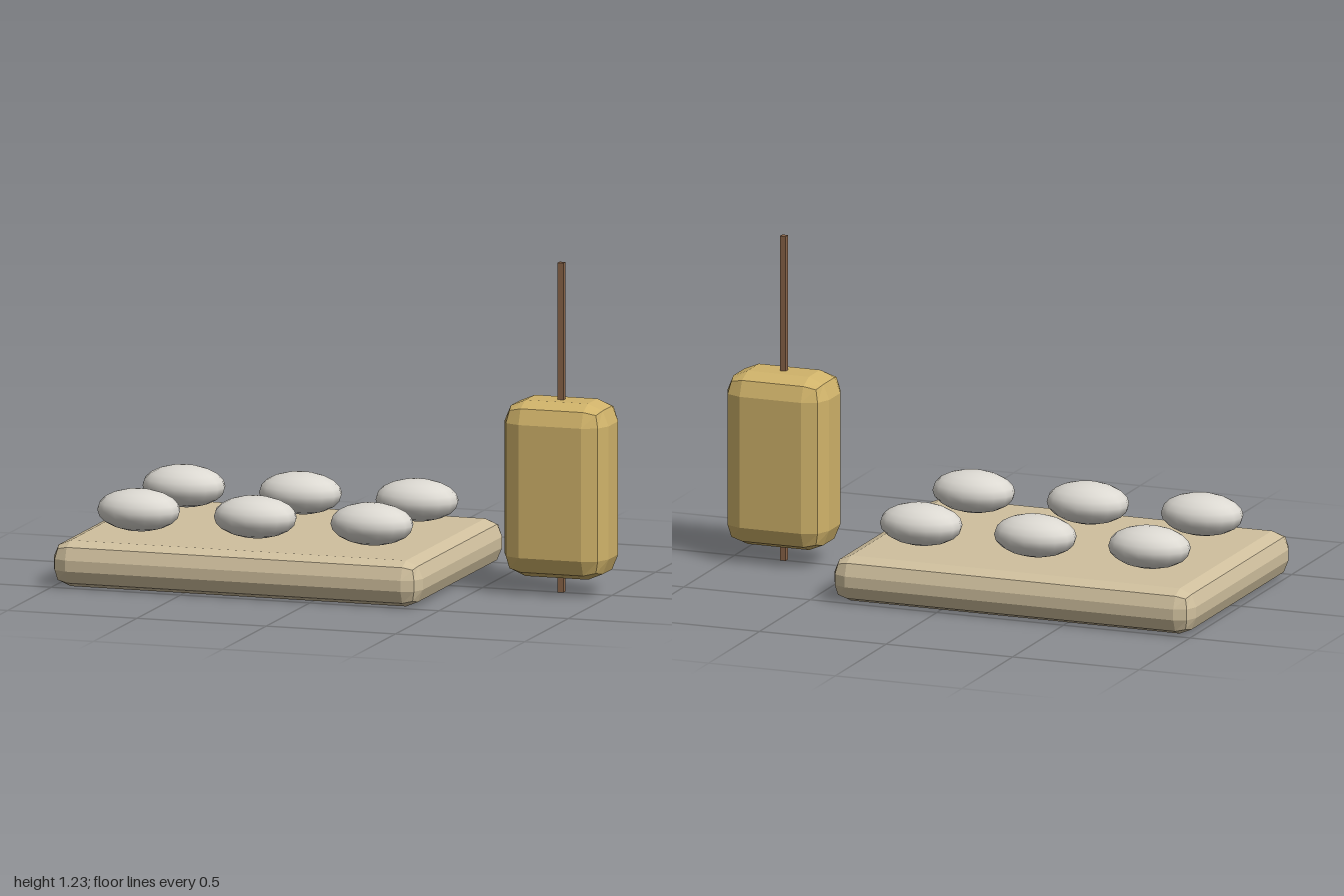
import * as THREE from 'three';
import { RoundedBoxGeometry } from 'three/addons/geometries/RoundedBoxGeometry.js';

function material(name, color, flatShading = false) {
  const m = new THREE.MeshStandardMaterial({ color, flatShading });
  m.name = name;
  return m;
}

export function createModel() {
  const model = new THREE.Group();
  const tan = material('tan slab', 0xd0c09e, true);
  const gold = material('golden block', 0xd0b36a, true);
  const brown = material('brown rod', 0x8a6549, true);
  const grey = material('pale stone', 0xdcd9d2);

  const add = (name, geometry, mat, x, y, z) => {
    const mesh = new THREE.Mesh(geometry, mat);
    mesh.name = name;
    mesh.position.set(x, y, z);
    model.add(mesh);
    return mesh;
  };

  // Low slab with bevelled edges
  add('slab', new RoundedBoxGeometry(1.428, 0.171, 1.038, 1, 0.065), tan, -0.292, 0.084, 0);

  // Two rows of three flattened pebbles hovering over the slab
  const pebble = new THREE.SphereGeometry(1, 16, 10);
  for (const z of [-0.259, 0.259]) {
    for (const x of [-0.743, -0.292, 0.159]) {
      add('pebble', pebble, grey, x, 0.261, z).scale.set(0.158, 0.078, 0.112);
    }
  }

  // Bevelled block threaded on a thin square rod
  add('block', new RoundedBoxGeometry(0.402, 0.656, 0.27, 1, 0.08), gold, 0.805, 0.39, 0);
  add('rod', new THREE.BoxGeometry(0.023, 1.228, 0.024), brown, 0.805, 0.614, 0);

  return model;
}
